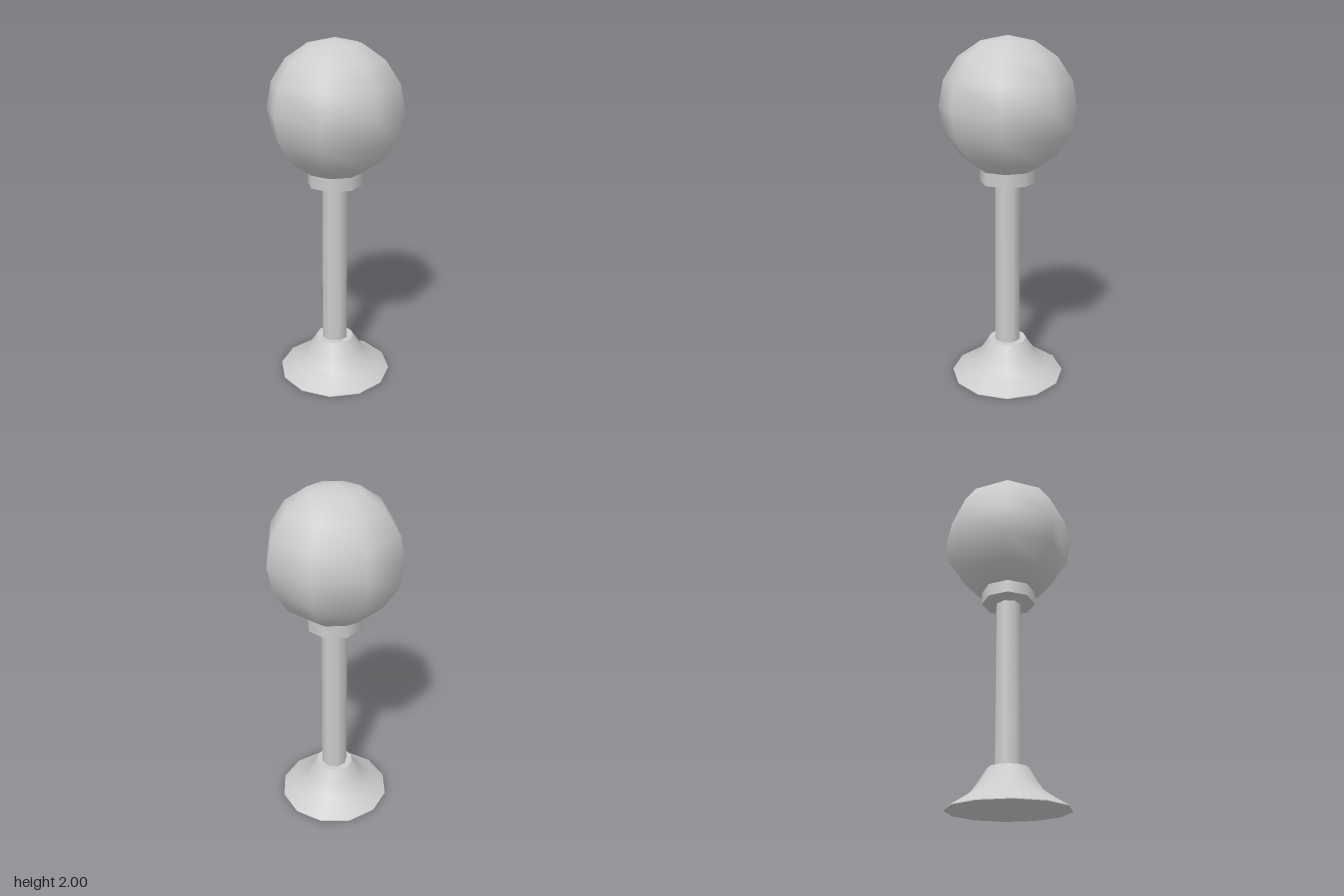
import * as THREE from 'three';

const material = new THREE.MeshStandardMaterial({ color: 0xcccccc });

function addMesh(parent, name, geometry, turnDegrees) {
  geometry.rotateY(-THREE.MathUtils.degToRad(turnDegrees));
  const mesh = new THREE.Mesh(geometry, material);
  mesh.name = name;
  parent.add(mesh);
  return mesh;
}

// Turned surface from [radius, height] pairs, running bottom to top
function turned(profile, sides) {
  return new THREE.LatheGeometry(profile.map(([r, y]) => new THREE.Vector2(r, y)), sides);
}

export function createModel() {
  const model = new THREE.Group();
  model.name = 'globeLamp';

  // Flared foot; walls and caps are separate so their shared edges stay sharp
  const foot = new THREE.Group();
  foot.name = 'foot';
  model.add(foot);
  const flare = [[0.335, 0.005], [0.255, 0.053], [0.2, 0.092], [0.16, 0.145], [0.112, 0.222]];
  addMesh(foot, 'footRim', turned([[0.335, 0], [0.335, 0.005]], 12), -2);
  addMesh(foot, 'footFlare', turned(flare, 12), -2);
  addMesh(foot, 'footTop', turned([[0.112, 0.222], [0, 0.222]], 12), -2);
  addMesh(foot, 'footUnderside', turned([[0, 0], [0.335, 0]], 12), -2);

  // Slightly tapered post
  addMesh(model, 'post', turned([[0.078, 0.2], [0.074, 1.25]], 8), 32.5);

  // Collar with a shallow conical underside, reaching up into the globe
  const collar = new THREE.Group();
  collar.name = 'collar';
  model.add(collar);
  addMesh(collar, 'collarWall', turned([[0.157, 1.195], [0.157, 1.285]], 8), 17.5);
  addMesh(collar, 'collarUnderside', turned([[0.06, 1.182], [0.157, 1.195]], 8), 17.5);

  // Globe
  const globe = addMesh(model, 'globe', new THREE.SphereGeometry(0.383, 8, 8), 17.5);
  globe.position.y = 1.617;

  return model;
}
